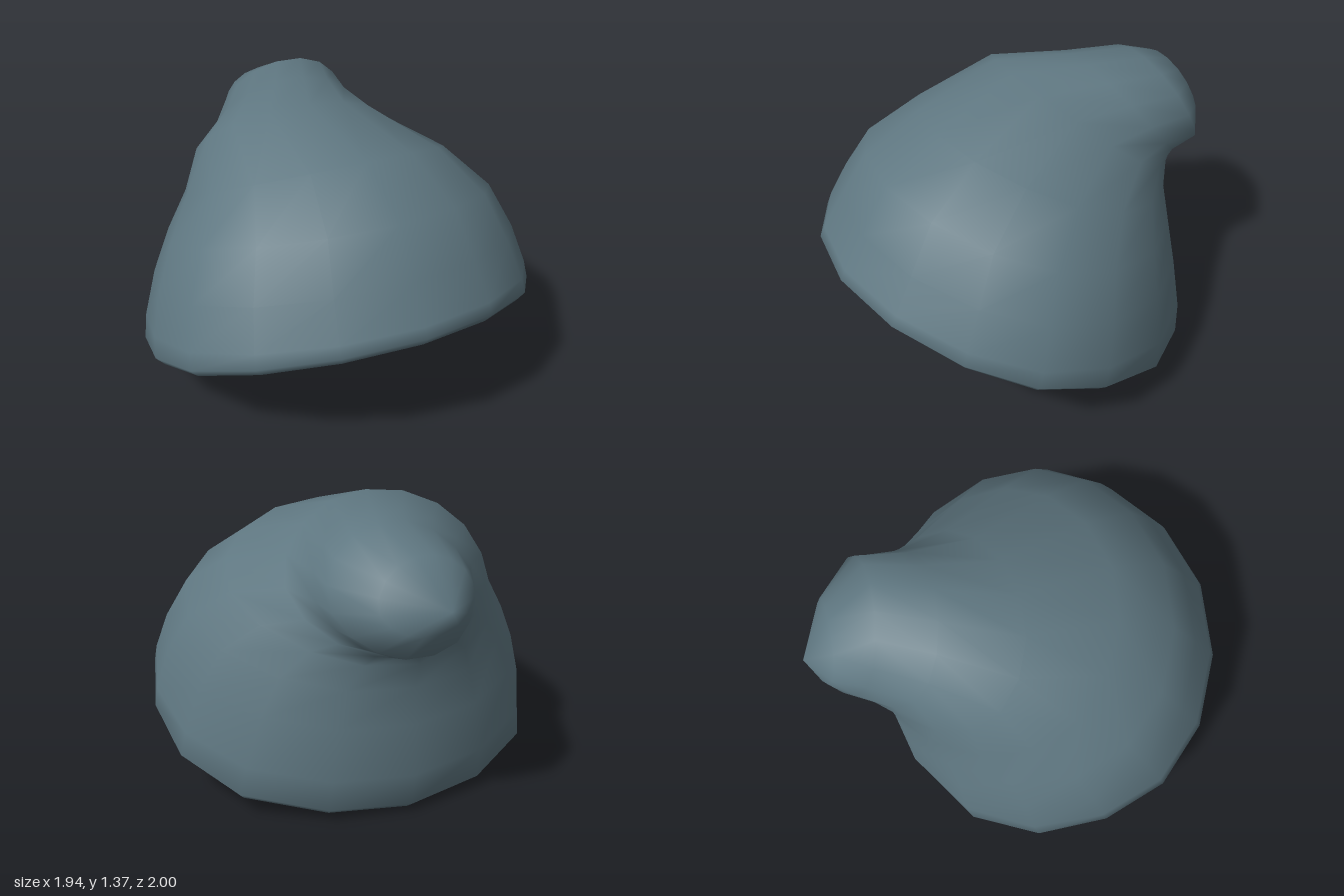
import * as THREE from 'three';
import { mergeVertices } from 'three/addons/utils/BufferGeometryUtils.js';

const SIDES = 16;

// Skin tilted rings: [frontZ, frontY, backZ, backY, halfWidth, centreX, roll, lean]
// Roll lowers the left side of a ring; lean moves its front edge to the left.
function loft(rings) {
  const pos = [], index = [];
  for (const [fz, fy, bz, by, w, cx, roll = 0, lean = 0] of rings) {
    const corner = 0.09 * (1 - 2 * by); // back corners: full near the rim, pinched higher up
    for (let j = 0; j < SIDES; j++) {
      const a = (j / SIDES) * Math.PI * 2, s = Math.sin(a), c = Math.cos(a);
      const k = (1 + c) / 2;
      const square = c < 0 ? 1 + corner * Math.sin(2 * a) ** 2 : 1;
      const sag = 0.02 * s * s; // sides hang slightly
      pos.push(
        cx + w * s * square + lean * c,
        by + (fy - by) * k - sag - roll * s,
        bz + (fz - bz) * k + 0.06 * w * s ** 4
      );
    }
  }
  for (let i = 0; i < rings.length - 1; i++) {
    for (let j = 0; j < SIDES; j++) {
      const n = (j + 1) % SIDES;
      const a = i * SIDES + j, b = i * SIDES + n, c = b + SIDES, d = a + SIDES;
      index.push(a, b, c, a, c, d);
    }
  }
  // close the tip with a fan around one extra point
  const last = (rings.length - 1) * SIDES;
  pos.push(0, 1.08, -1);
  for (let j = 0; j < SIDES; j++) index.push(last + j, last + (j + 1) % SIDES, last + SIDES);

  let g = new THREE.BufferGeometry();
  g.setAttribute('position', new THREE.Float32BufferAttribute(pos, 3));
  g.setIndex(index);
  g = mergeVertices(g, 1e-4);
  g.computeVertexNormals();
  return g;
}

export function createModel() {
  const slateCloth = new THREE.MeshStandardMaterial({ color: 0x5f7781, side: THREE.DoubleSide });
  slateCloth.name = 'slateCloth';

  const rings = [
    // lining and thick rolled rim
    [0.74, 0.70, -0.52, 0.24, 0.70, 0],
    [0.85, 0.55, -0.52, 0.06, 0.79, 0],
    [0.97, 0.61, -0.66, 0.00, 0.93, 0],
    // crown, leaning further back with each ring
    [1.00, 0.655, -0.71, 0.04, 0.97, 0],
    [0.975, 0.70, -0.73, 0.20, 0.96, 0],
    [0.87, 0.86, -0.715, 0.45, 0.905, 0],
    [0.73, 1.07, -0.71, 0.63, 0.81, 0],
    [0.45, 1.24, -0.73, 0.75, 0.66, -0.01],
    [0.00, 1.365, -0.76, 0.81, 0.50, -0.03, 0.02, -0.05],
    // drooping tip, twisted towards the left
    [-0.35, 1.365, -0.82, 0.83, 0.375, 0.03, 0.04, 0.02],
    [-0.61, 1.37, -0.92, 0.87, 0.32, 0.09, 0.05, 0.06],
    [-0.83, 1.27, -0.965, 0.98, 0.21, 0.05, 0.04, 0.03],
  ];

  const cap = new THREE.Mesh(loft(rings), slateCloth);
  cap.name = 'floppyCap';
  const group = new THREE.Group();
  group.name = 'cap';
  group.add(cap);
  return group;
}
